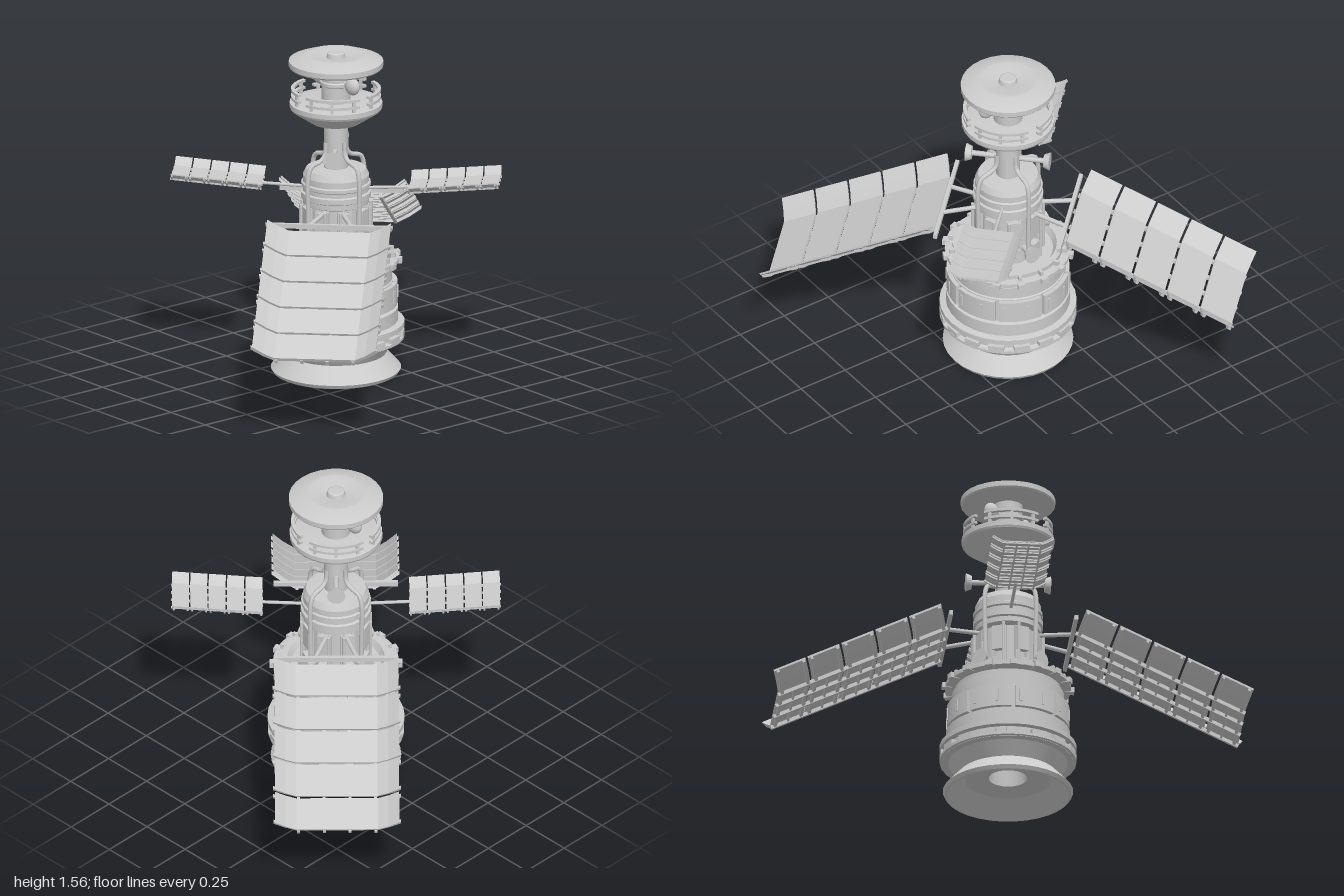
import * as THREE from 'three';
import { toCreasedNormals } from 'three/addons/utils/BufferGeometryUtils.js';

const material = new THREE.MeshStandardMaterial({ color: 0xcccccc });
const v = (x, y, z) => new THREE.Vector3(x, y, z);

function add(parent, name, geometry, x = 0, y = 0, z = 0) {
  const mesh = new THREE.Mesh(geometry, material);
  mesh.name = name;
  mesh.position.set(x, y, z);
  parent.add(mesh);
  return mesh;
}

// Turned part from [radius, y] pairs, listed from the underside to the top
function lathe(points, sides = 28) {
  const geo = new THREE.LatheGeometry(points.map(p => new THREE.Vector2(...p)), sides);
  return toCreasedNormals(geo, 0.4);
}

// Solid piece of a ring, centred on +x
function sector(rIn, rOut, height, angle) {
  const shape = new THREE.Shape();
  shape.absarc(0, 0, rOut, -angle / 2, angle / 2, false);
  shape.absarc(0, 0, rIn, angle / 2, -angle / 2, true);
  const geo = new THREE.ExtrudeGeometry(shape, { depth: height, bevelEnabled: false, curveSegments: 8 });
  return toCreasedNormals(geo.rotateX(-Math.PI / 2), 0.4);
}

const box = (x, y, z) => new THREE.BoxGeometry(x, y, z);
const rod = (a, b, r) => new THREE.TubeGeometry(new THREE.LineCurve3(a, b), 1, r, 8);

// Repeats a part around the y axis; its local +x points outward
function around(parent, name, count, geometry, r, y, offset = 0) {
  for (let i = 0; i < count; i++) {
    const a = offset + (i / count) * Math.PI * 2;
    add(parent, name, geometry, Math.cos(a) * r, y, -Math.sin(a) * r).rotation.y = a;
  }
}

// Strip with upturned sides, length along +x, lateral along z
function trough(half, flat, lift, thick, length) {
  const line = [[-half, lift], [-(half + flat) / 2, lift * 0.42], [-flat, 0],
    [flat, 0], [(half + flat) / 2, lift * 0.42], [half, lift]];
  const under = line.map(([x, y]) => [x, y - thick]).reverse();
  const shape = new THREE.Shape([...line, ...under].map(p => new THREE.Vector2(...p)));
  return new THREE.ExtrudeGeometry(shape, { depth: length, bevelEnabled: false }).rotateY(Math.PI / 2);
}

// Segmented solar panel with cross ribs and a ladder frame underneath
function solarPanel(name, half, flat, lift, length, k) {
  const panel = new THREE.Group();
  panel.name = name;
  const n = 5, step = length / n, gap = 0.012 * k;
  const plate = trough(half, flat, lift, 0.01 * k, step - gap);
  const rib = trough(half + 0.008 * k, flat, lift, 0.016 * k, 0.014 * k);
  const rung = box(0.008 * k, 0.014 * k, flat * 1.9);
  for (let i = 0; i < n; i++) {
    add(panel, 'panelPlate', plate, i * step + gap / 2, 0, 0);
    for (const t of [0.12, 0.88])
      add(panel, 'panelRib', rib, (i + t) * step - 0.007 * k, -0.008 * k, 0);
    add(panel, 'panelRung', rung, (i + 0.5) * step, -0.016 * k, 0);
  }
  for (const s of [-1, -0.33, 0.33, 1])
    add(panel, 'panelStringer', box(length, 0.018 * k, 0.014 * k), length / 2, -0.018 * k, s * flat * 0.95);
  return panel;
}

export function createModel() {
  const model = new THREE.Group();
  model.name = 'spaceStation';

  // Main drum, with the hollow bell underneath
  add(model, 'mainDrum', lathe([
    [0, 0.17], [0.085, 0.17], [0.09, 0.09], [0.165, 0.09], [0.2, 0.08], [0.285, 0], [0.295, 0.005],
    [0.305, 0.022], [0.235, 0.098], [0.278, 0.165], [0.305, 0.17], [0.305, 0.185], [0.295, 0.19],
    [0.295, 0.222], [0.32, 0.225], [0.32, 0.25], [0.29, 0.256], [0.29, 0.32], [0.268, 0.325],
    [0.268, 0.45], [0.262, 0.455], [0.262, 0.515], [0.25, 0.52], [0.25, 0.54], [0.295, 0.543],
    [0.295, 0.562], [0.258, 0.565], [0.258, 0.585], [0.228, 0.585], [0.21, 0.555], [0.12, 0.555]], 32));
  around(model, 'beltPlate', 8, sector(0.25, 0.287, 0.11, 0.72), 0, 0.335, Math.PI / 8);
  around(model, 'beltSlot', 16, box(0.008, 0.06, 0.012), 0.288, 0.39, 0.12);
  around(model, 'lowerClip', 16, box(0.045, 0.034, 0.075), 0.295, 0.192);
  around(model, 'lowerRingBand', 1, lathe([[0.27, 0.17], [0.32, 0.172], [0.32, 0.185], [0.27, 0.19]]), 0, 0);
  around(model, 'upperClip', 16, box(0.045, 0.026, 0.035), 0.287, 0.552);
  around(model, 'upperGusset', 16, box(0.03, 0.035, 0.014), 0.265, 0.57);

  // Neck with its equipment
  add(model, 'neck', lathe([
    [0.13, 0.55], [0.13, 0.82], [0.155, 0.83], [0.155, 0.855], [0.165, 0.86], [0.165, 0.885],
    [0.155, 0.89], [0.155, 0.91], [0.163, 0.915], [0.163, 0.93], [0.155, 0.935], [0.155, 0.965],
    [0.14, 0.995], [0.056, 1.0], [0.056, 1.23]], 24));
  around(model, 'equipmentBox', 8, box(0.05, 0.12, 0.06), 0.13, 0.75, Math.PI / 8);
  around(model, 'lowerEquipmentBox', 8, box(0.05, 0.07, 0.05), 0.135, 0.615, Math.PI / 8);
  around(model, 'neckRib', 16, box(0.03, 0.25, 0.012), 0.13, 0.69, Math.PI / 16);
  for (const s of [-0.22, 0.22])
    around(model, 'neckPipe', 4, new THREE.CylinderGeometry(0.008, 0.008, 0.26, 8), 0.165, 0.69, Math.PI / 4 + s);

  // Small round dish facing outward
  const dish = new THREE.CylinderGeometry(0.032, 0.043, 0.028, 16).rotateZ(Math.PI / 2);
  const dishGeo = toCreasedNormals(dish, 0.5);
  around(model, 'lowerDish', 4, dishGeo, 0.195, 0.64);
  around(model, 'lowerDishArm', 4, rod(v(-0.08, 0, 0), v(0, 0, 0), 0.016), 0.195, 0.64);
  around(model, 'columnDish', 2, dishGeo, 0.185, 1.09, Math.PI / 4);
  around(model, 'columnDishArm', 2, rod(v(-0.15, 0, 0), v(0, 0, 0), 0.013), 0.185, 1.09, Math.PI / 4);

  // Four handrail tubes that rise along the neck and bend in to the column
  const railPath = new THREE.CatmullRomCurve3([
    v(0.165, 0.6, 0), v(0.168, 0.8, 0), v(0.168, 0.98, 0), v(0.15, 1.025, 0),
    v(0.09, 1.045, 0), v(0.066, 1.07, 0), v(0.062, 1.13, 0)]);
  around(model, 'neckRail', 4, new THREE.TubeGeometry(railPath, 32, 0.011, 8), 0, 0);

  // Upper deck: bowl, guard rails, column and cap
  add(model, 'deckBowl', lathe([
    [0, 1.22], [0.115, 1.22], [0.212, 1.285], [0.217, 1.295], [0.217, 1.318], [0.2, 1.322], [0, 1.322]]));
  for (const y of [1.338, 1.372])
    around(model, 'guardRail', 4, sector(0.193, 0.21, 0.013, 1.3), 0, y, Math.PI / 4);
  around(model, 'railPost', 12, box(0.012, 0.075, 0.014), 0.2, 1.348, Math.PI / 12);
  add(model, 'upperColumn', lathe([
    [0.068, 1.32], [0.068, 1.4], [0.075, 1.405], [0.075, 1.42], [0.068, 1.425], [0.068, 1.5]], 20));
  for (const s of [-1, 1]) {
    add(model, 'deckPod', new THREE.SphereGeometry(0.042, 16, 12), 0, 1.42, s * 0.12).scale.x = 0.7;
    add(model, 'deckPodArm', rod(v(0, 1.42, s * 0.05), v(0, 1.42, s * 0.12), 0.012));
  }
  add(model, 'topCap', lathe([
    [0, 1.488], [0.215, 1.488], [0.221, 1.495], [0.221, 1.52], [0.14, 1.55], [0.125, 1.55],
    [0.045, 1.535], [0.04, 1.556], [0.032, 1.56], [0, 1.56]]));

  // Large drooping panels and small raised panels, in opposite diagonal pairs
  for (const turn of [0, Math.PI]) {
    const large = new THREE.Group();
    large.name = 'largePanelAssembly';
    large.rotation.y = Math.PI / 4 + turn;
    const wing = solarPanel('largePanel', 0.29, 0.19, 0.067, 0.88, 1);
    wing.position.set(0.308, 0.782, 0);
    wing.rotation.z = -0.446;
    large.add(wing);
    add(large, 'rootBar', box(0.018, 0.022, 0.58), 0.293, 0.797, 0);
    for (const s of [-1, 1])
      add(large, 'rootStrut', rod(v(0.12, 0.81, s * 0.04), v(0.293, 0.797, s * 0.1), 0.011));
    model.add(large);

    const small = new THREE.Group();
    small.name = 'smallPanelAssembly';
    small.rotation.y = -Math.PI / 4 + turn;
    const fin = solarPanel('smallPanel', 0.14, 0.09, 0.03, 0.43, 0.55);
    fin.position.set(0.34, 0.918, 0);
    fin.rotation.z = 0.086;
    small.add(fin);
    add(small, 'panelRod', rod(v(0.13, 0.9, 0), v(0.4, 0.913, 0), 0.008));
    model.add(small);
  }
  return model;
}
